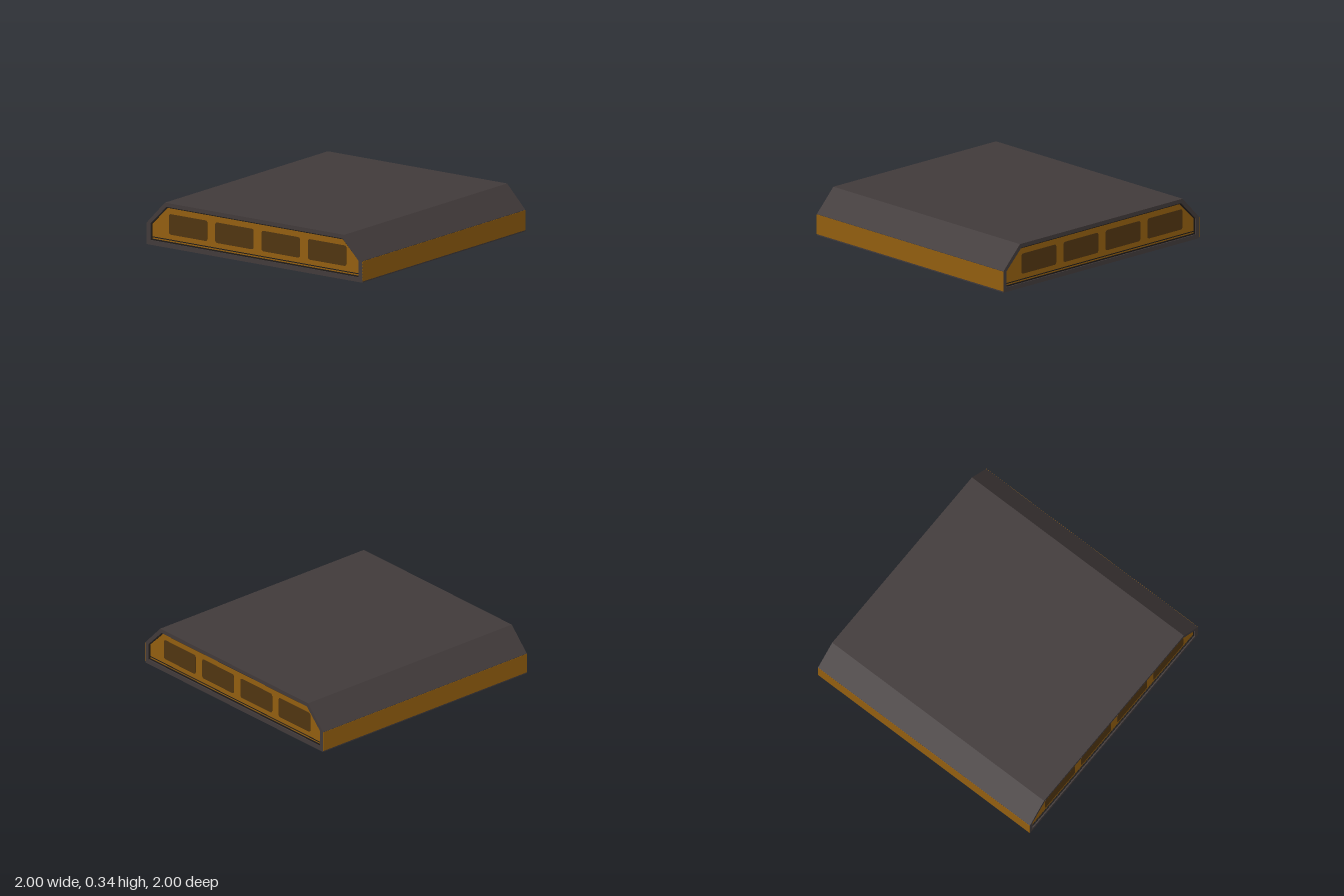
import * as THREE from 'three';

const mat = (name, color) => {
  const m = new THREE.MeshStandardMaterial({ color });
  m.name = name;
  return m;
};

// Chamfered cross-section: half width, bottom, shoulder, top, half width of the top
function profile(w, y0, y1, y2, t, PathType = THREE.Shape) {
  const p = new PathType();
  p.moveTo(-w, y0);
  p.lineTo(w, y0);
  p.lineTo(w, y1);
  p.lineTo(t, y2);
  p.lineTo(-t, y2);
  p.lineTo(-w, y1);
  p.closePath();
  return p;
}

// Extrudes a shape from x0 to x1; shape x becomes -z
function alongX(shape, x0, x1) {
  const g = new THREE.ExtrudeGeometry(shape, { depth: x1 - x0, bevelEnabled: false, curveSegments: 4 });
  return g.rotateY(Math.PI / 2).translate(x0, 0, 0);
}

function roundedRect(cx, cy, w, h, r) {
  const s = new THREE.Shape();
  const a = cx - w / 2, b = cx + w / 2, c = cy - h / 2, d = cy + h / 2;
  s.moveTo(a + r, c);
  s.lineTo(b - r, c);
  s.quadraticCurveTo(b, c, b, c + r);
  s.lineTo(b, d - r);
  s.quadraticCurveTo(b, d, b - r, d);
  s.lineTo(a + r, d);
  s.quadraticCurveTo(a, d, a, d - r);
  s.lineTo(a, c + r);
  s.quadraticCurveTo(a, c, a + r, c);
  return s;
}

export function createModel() {
  const shellMat = mat('charcoal', 0x413a3a);
  const amber = mat('amber', 0x925e0f);
  const windowMat = mat('dark amber', 0x503510);
  const trimMat = mat('black trim', 0x1e1a18);

  const model = new THREE.Group();
  model.name = 'chamferedSlab';
  const add = (parent, name, geometry, material) => {
    const mesh = new THREE.Mesh(geometry, material);
    mesh.name = name;
    parent.add(mesh);
    return mesh;
  };

  // Outer shell, open at both ends
  const shell = profile(0.998, 0, 0.165, 0.34, 0.83);
  shell.holes.push(profile(0.965, 0.035, 0.16, 0.31, 0.815, THREE.Path));
  add(model, 'shell', alongX(shell, -1, 1), shellMat);

  // Painted bands on the front and back walls
  for (const side of [1, -1]) {
    const band = add(model, side > 0 ? 'frontBand' : 'backBand', new THREE.BoxGeometry(2, 0.152, 0.004), amber);
    band.position.set(0, 0.086, side * 0.998);
  }

  // Slightly recessed end panels with trim and four windows each
  for (const side of [1, -1]) {
    const end = new THREE.Group();
    end.name = side > 0 ? 'leftEnd' : 'rightEnd';
    add(end, 'endPanel', alongX(profile(0.965, 0.035, 0.16, 0.31, 0.815), 0.95, 0.985), amber);

    const trim = profile(0.965, 0.035, 0.16, 0.31, 0.815);
    trim.holes.push(profile(0.957, 0.045, 0.158, 0.301, 0.811, THREE.Path));
    add(end, 'endTrim', alongX(trim, 0.985, 0.99), trimMat);
    const sill = add(end, 'sillLine', new THREE.BoxGeometry(0.004, 0.007, 1.91), trimMat);
    sill.position.set(0.985, 0.059, 0);

    for (let i = 0; i < 4; i++) {
      const z = 0.625 - i * 0.429;
      add(end, 'window', alongX(roundedRect(-z, 0.178, 0.355, 0.156, 0.02), 0.985, 0.988), windowMat);
    }
    if (side < 0) end.rotation.y = Math.PI;
    model.add(end);
  }
  return model;
}
